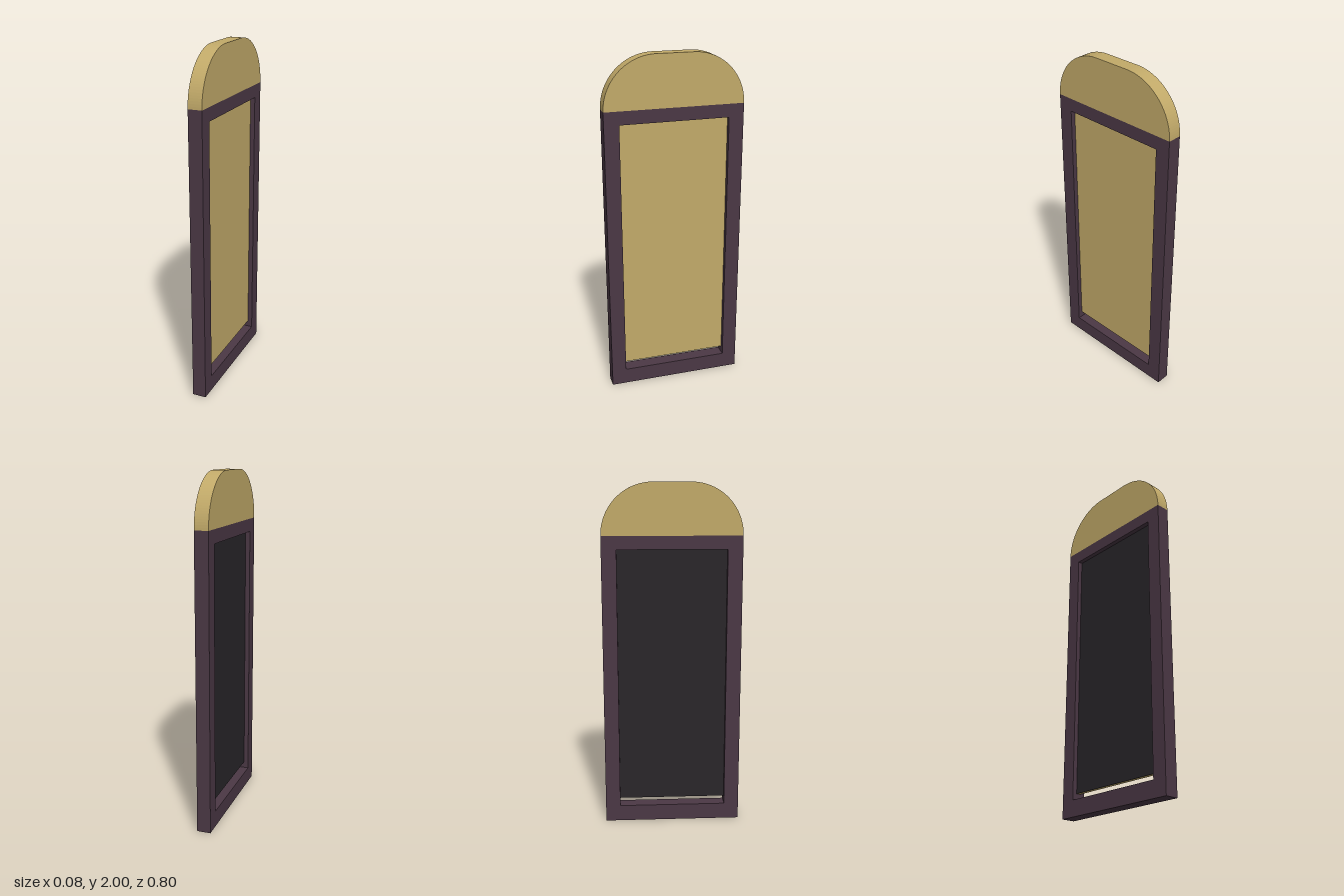
import * as THREE from 'three';

const HALF_W = 0.4, DEPTH = 0.08, FRAME_H = 1.706, TOTAL_H = 2;
const tan = new THREE.MeshStandardMaterial({ color: 0xc2aa69, flatShading: true });
const dark = new THREE.MeshStandardMaterial({ color: 0x4b3845, flatShading: true });
const black = new THREE.MeshStandardMaterial({ color: 0x29262a, flatShading: true });

// Extrudes a side profile (shape x runs towards -z) through the thickness along x.
function slab(name, shape, material) {
  const geo = new THREE.ExtrudeGeometry(shape, { depth: DEPTH, bevelEnabled: false, curveSegments: 16 });
  geo.translate(0, 0, -DEPTH / 2);
  geo.rotateY(Math.PI / 2);
  const mesh = new THREE.Mesh(geo, material);
  mesh.name = name;
  return mesh;
}

function box(name, x0, x1, y0, y1, halfZ, material) {
  const mesh = new THREE.Mesh(new THREE.BoxGeometry(x1 - x0, y1 - y0, halfZ * 2), material);
  mesh.position.set((x0 + x1) / 2, (y0 + y1) / 2, 0);
  mesh.name = name;
  return mesh;
}

function rectangle(path, halfW, y0, y1) {
  path.moveTo(-halfW, y0);
  path.lineTo(halfW, y0);
  path.lineTo(halfW, y1);
  path.lineTo(-halfW, y1);
  path.closePath();
  return path;
}

export function createModel() {
  const group = new THREE.Group();
  group.name = 'archedPanel';

  // Rectangular frame with an open window
  const outline = rectangle(new THREE.Shape(), HALF_W, 0, FRAME_H);
  outline.holes.push(rectangle(new THREE.Path(), 0.314, 0.095, 1.63));
  group.add(slab('frame', outline, dark));

  // Crest with two quarter-round shoulders and a flat top
  const r = TOTAL_H - FRAME_H, c = HALF_W - r;
  const arch = new THREE.Shape();
  arch.moveTo(-HALF_W, FRAME_H);
  arch.lineTo(HALF_W, FRAME_H);
  arch.absarc(c, FRAME_H, r, 0, Math.PI / 2, false);
  arch.absarc(-c, FRAME_H, r, Math.PI / 2, Math.PI, false);
  group.add(slab('archedCrest', arch, tan));

  // Recessed board with a dark pane behind it, leaving a slot at the bottom
  group.add(box('backingBoard', -0.01, 0.013, 0.134, 1.64, 0.316, tan));
  group.add(box('darkPane', -0.013, -0.01, 0.134, 1.64, 0.316, black));

  return group;
}
